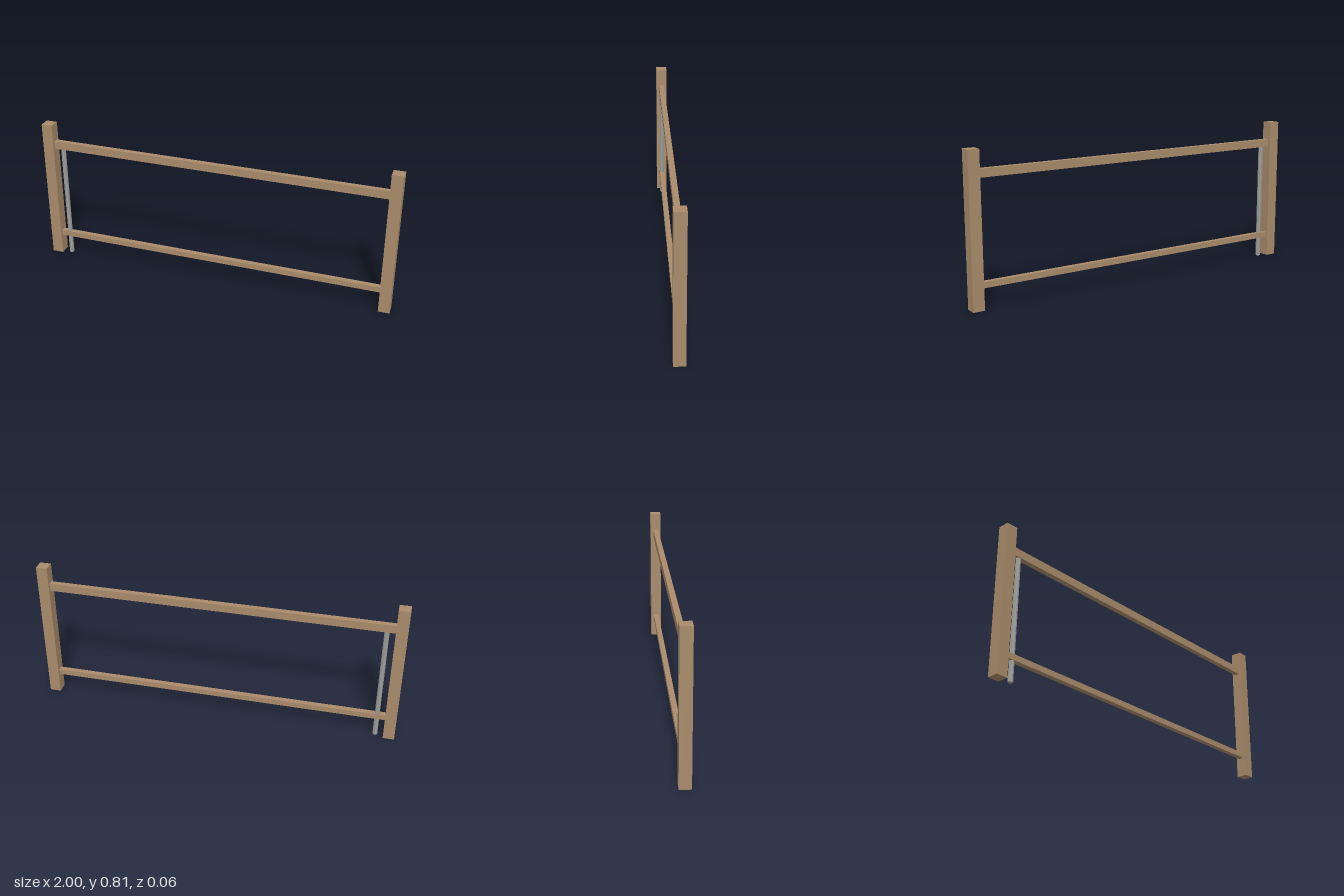
import * as THREE from 'three';

export function createModel() {
  const model = new THREE.Group();
  model.name = 'gateFrame';

  const wood = new THREE.MeshStandardMaterial({ color: 0xa98c6b });
  wood.name = 'wood';
  const metal = new THREE.MeshStandardMaterial({ color: 0x9c9c98, flatShading: true });
  metal.name = 'greyMetal';

  const add = (name, geometry, material, x, y) => {
    const mesh = new THREE.Mesh(geometry, material);
    mesh.name = name;
    mesh.position.set(x, y, 0);
    model.add(mesh);
  };

  // Square end posts
  const height = 0.808, post = 0.062;
  for (const side of [-1, 1]) {
    add(side < 0 ? 'rightPost' : 'leftPost', new THREE.BoxGeometry(post, height, post),
      wood, side * (1 - post / 2), height / 2);
  }

  // Horizontal rails between the posts
  const span = 2 - 2 * post;
  for (const [name, bottom, top] of [['topRail', 0.664, 0.708], ['bottomRail', 0.11, 0.141]]) {
    add(name, new THREE.BoxGeometry(span, top - bottom, 0.03), wood, 0, (bottom + top) / 2);
  }

  // Slim metal drop rod beside the right post
  const rodHeight = 0.69;
  add('dropRod', new THREE.CylinderGeometry(0.0135, 0.0135, rodHeight, 8), metal, -0.893, rodHeight / 2);

  return model;
}
